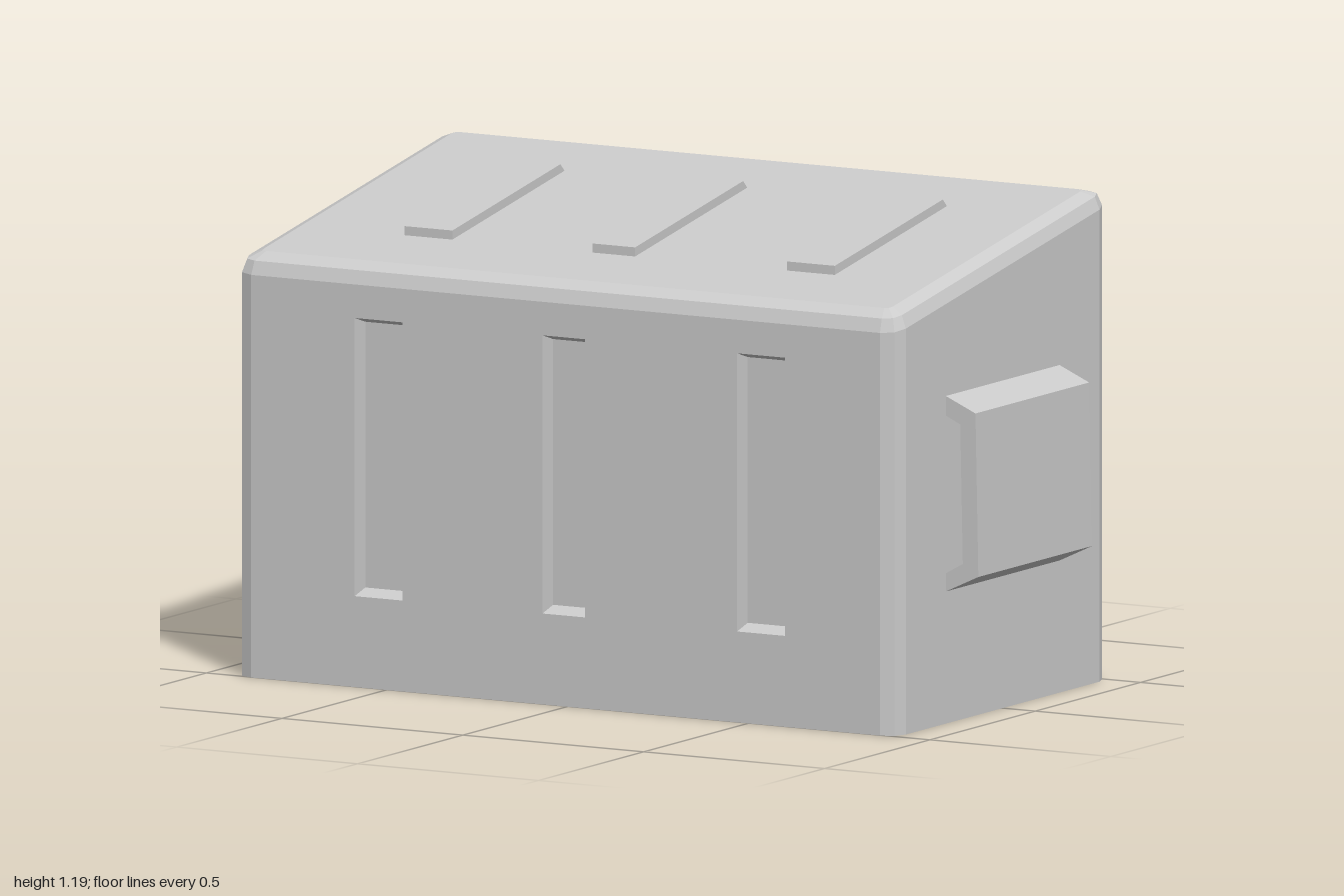
import * as THREE from 'three';

const material = new THREE.MeshStandardMaterial({ color: 0xcccccc, flatShading: true, side: THREE.DoubleSide });

const CX = -0.004, HX = 0.914, HZ = 0.505, BEVEL = 0.045;
const SLOTS = [[-0.587, -0.455], [-0.068, 0.05], [0.47, 0.602]];
const roofY = (z) => 1.107 - 0.174 * z;

function addMesh(parent, name, geometry) {
  const mesh = new THREE.Mesh(geometry, material);
  mesh.name = name;
  parent.add(mesh);
  return mesh;
}

// Skins a list of closed rings; skip(i, j) leaves quad j of band i open, the last ring is capped
function skin(rings, skip = () => false) {
  const pos = [];
  const tri = (...pts) => pts.forEach((p) => pos.push(...p));
  for (let i = 0; i < rings.length - 1; i++) {
    const lo = rings[i], hi = rings[i + 1], n = lo.length;
    for (let j = 0; j < n; j++) {
      if (skip(i, j)) continue;
      const k = (j + 1) % n;
      tri(lo[j], lo[k], hi[k]);
      tri(lo[j], hi[k], hi[j]);
    }
  }
  const cap = rings[rings.length - 1];
  for (let j = 1; j < cap.length - 1; j++) tri(cap[0], cap[j], cap[j + 1]);
  const geometry = new THREE.BufferGeometry();
  geometry.setAttribute('position', new THREE.Float32BufferAttribute(pos, 3));
  geometry.computeVertexNormals();
  return geometry;
}

// Rectangle in plan with bevelled corners, its height following a rule of z
function planRing(inset, corner, heightAt) {
  const hx = HX - inset, hz = HZ - inset, ring = [];
  for (const [sx, sz] of [[-1, 1], [1, 1], [1, -1], [-1, -1]]) {
    const pts = [[corner, 0], [corner * 0.27, corner * 0.27], [0, corner]];
    if (sx * sz < 0) pts.reverse();
    for (const [dx, dz] of pts) {
      const z = sz * (hz - dz);
      ring.push([CX + sx * (hx - dx), heightAt(z), z]);
    }
  }
  return ring;
}

function polygon(points) {
  return new THREE.Shape(points.map(([x, y]) => new THREE.Vector2(x, y)));
}

// Flat wall with three slot openings and a shallow pocket behind each
function slottedWall(side, name) {
  const wall = new THREE.Group();
  wall.name = name;
  const z = side * HZ, top = roofY(z) - BEVEL, half = HX - BEVEL;
  const [y0, y1] = [0.22, 0.893];
  const rect = (a, b, c, d) => [[a, c], [b, c], [b, d], [a, d]];

  const shape = polygon(rect(side * CX - half, side * CX + half, 0, top));
  for (const [a, b] of SLOTS) {
    shape.holes.push(polygon(rect(side * a, side * b, y0, y1)));
  }
  const panel = new THREE.ShapeGeometry(shape);
  panel.translate(0, 0, HZ);
  if (side < 0) panel.rotateY(Math.PI);
  addMesh(wall, name + 'Panel', panel);

  for (const [a, b] of SLOTS) {
    const rings = [
      rect(a, b, y0, y1).map(([x, y]) => [x, y, z]),
      rect(a + 0.003, b - 0.003, y0 + 0.015, y1 - 0.015).map(([x, y]) => [x, y, z - side * 0.045]),
    ];
    if (side < 0) rings.forEach((r) => r.reverse());
    addMesh(wall, name + 'SlotPocket', skin(rings));
  }
  return wall;
}

export function createModel() {
  const model = new THREE.Group();
  model.name = 'slopedBin';

  // Open-bottomed body with bevelled corners and a sloping roof
  const body = skin([
    planRing(0, BEVEL, () => 0),
    planRing(0, BEVEL, (z) => roofY(z) - BEVEL),
    planRing(0.012, 0.035, (z) => roofY(z) - 0.014),
    planRing(BEVEL, 0.015, roofY),
  ], (band, j) => band === 0 && (j === 2 || j === 8));
  addMesh(model, 'body', body);

  model.add(slottedWall(1, 'frontWall'), slottedWall(-1, 'backWall'));

  // Raised ribs on the roof, square at the front and ramped at the back
  for (const [a, b] of SLOTS) {
    const profile = polygon([
      [0.268, roofY(0.268) - 0.004], [0.268, roofY(0.268) + 0.022],
      [-0.245, roofY(-0.245) + 0.022], [-0.268, roofY(-0.268) - 0.004],
    ]);
    const rib = new THREE.ExtrudeGeometry(profile, { depth: b - a, bevelEnabled: false });
    rib.rotateY(-Math.PI / 2).translate(b, 0, 0);
    addMesh(model, 'roofRib', rib);
  }

  // Wide bracket handles on both ends
  const handles = {
    leftHandle: [[0.9, 0.797], [0.992, 0.757], [1, 0.362], [0.9, 0.315],
      [0.9, 0.358], [0.957, 0.39], [0.95, 0.727], [0.9, 0.75]],
    rightHandle: [[-0.908, 0.795], [-1, 0.745], [-1, 0.375], [-0.908, 0.317],
      [-0.908, 0.358], [-0.962, 0.4], [-0.962, 0.72], [-0.908, 0.75]],
  };
  for (const [name, points] of Object.entries(handles)) {
    const geometry = new THREE.ExtrudeGeometry(polygon(points), { depth: 0.54, bevelEnabled: false });
    addMesh(model, name, geometry.translate(0, 0, -0.27));
  }

  return model;
}
